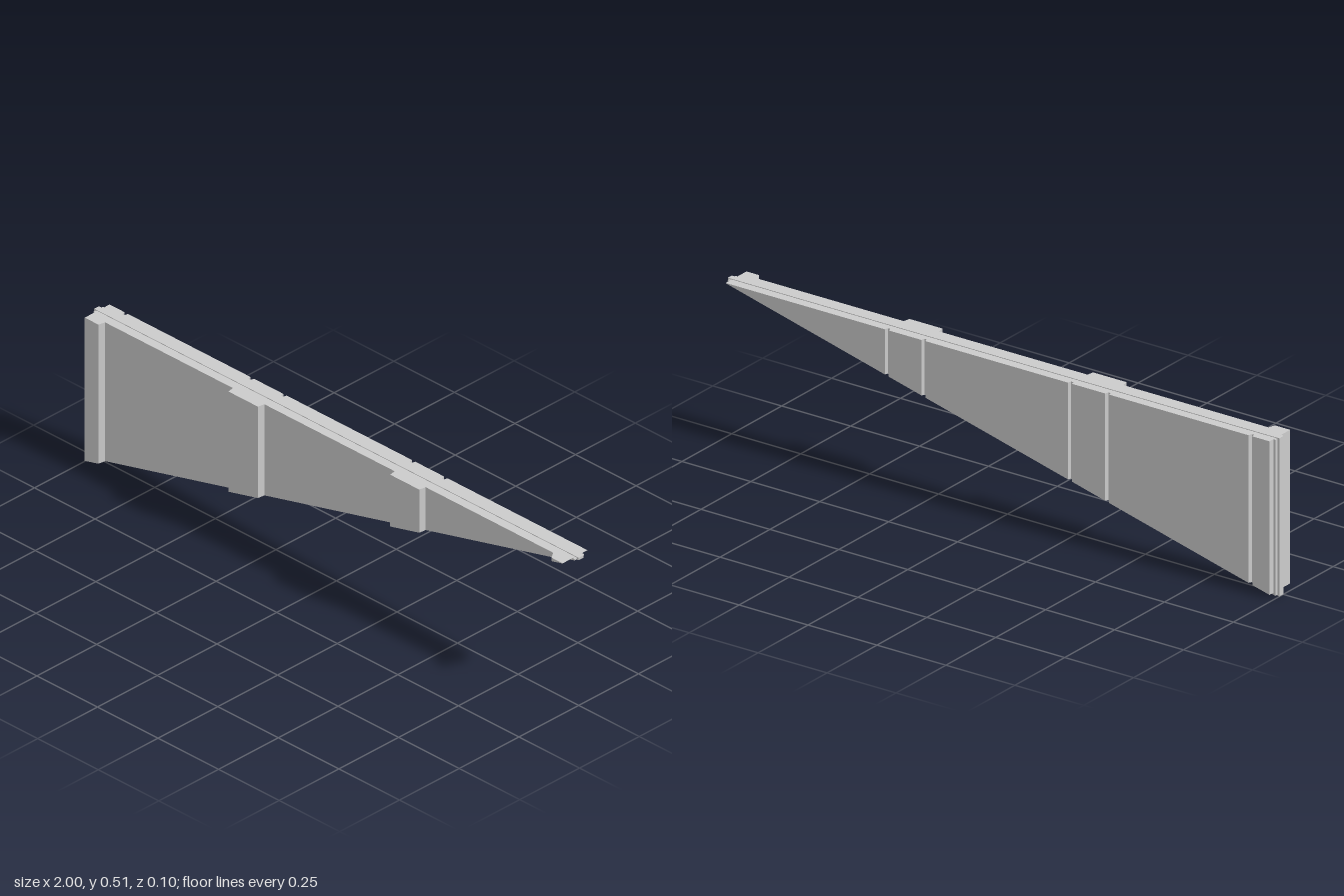
import * as THREE from 'three';

const FRONT = 0.03, RIB = 0.053, BACK = -0.051, TOP = 0.506;
const X0 = -0.987, X1 = 0.985;
const slope = (x) => 0.013 + (TOP - 0.0135 - 0.0005) * (x - X0) / (X1 - X0);

// ribs on the front: [start, end, left chamfer, right chamfer]
const ribs = [
  [X0, -0.925, 0, 0.006],
  [-0.398, -0.268, 0.004, 0.004],
  [0.27, 0.398, 0.004, 0.004],
  [0.925, X1, 0.014, 0],
];
// narrow V-sided grooves on the back
const grooves = [-0.918, -0.398, -0.263, 0.268, 0.401];

function addMesh(group, name, geometry, material) {
  const flat = geometry.index ? geometry.toNonIndexed() : geometry;
  flat.computeVertexNormals();
  const mesh = new THREE.Mesh(flat, material);
  mesh.name = name;
  group.add(mesh);
}

// plan outline pulled upwards, its underside then laid on the slope
function wallGeometry() {
  const pts = [];
  const add = (x, z) => pts.push(new THREE.Vector2(x, -z));
  for (const [a, b, ca, cb] of ribs) {
    if (a > X0) add(a, FRONT);
    add(a + ca, RIB);
    add(b - cb, RIB);
    if (b < X1) add(b, FRONT);
  }
  add(X1, BACK);
  for (const x of [...grooves].reverse()) {
    add(x + 0.007, BACK);
    add(x + 0.004, BACK + 0.012);
    add(x - 0.004, BACK + 0.012);
    add(x - 0.007, BACK);
  }
  add(X0, BACK);
  const geo = new THREE.ExtrudeGeometry(new THREE.Shape(pts), { depth: 1, bevelEnabled: false });
  geo.rotateX(-Math.PI / 2);
  const p = geo.attributes.position;
  for (let i = 0; i < p.count; i++) {
    p.setY(i, p.getY(i) > 0.5 ? TOP : slope(p.getX(i)));
  }
  return geo;
}

// triangular slab between two z planes
function slabGeometry(x0, x1, y0, y1, top, zMin, zMax) {
  const shape = new THREE.Shape([
    new THREE.Vector2(x0, y0), new THREE.Vector2(x1, y1),
    new THREE.Vector2(x1, top), new THREE.Vector2(x0, top),
  ]);
  const geo = new THREE.ExtrudeGeometry(shape, { depth: zMax - zMin, bevelEnabled: false });
  return geo.translate(0, 0, zMin);
}

export function createModel() {
  const group = new THREE.Group();
  group.name = 'triangularWall';
  const material = new THREE.MeshStandardMaterial({ color: 0xcccccc, flatShading: true });

  // wall with front ribs and back grooves
  addMesh(group, 'wallPanel', wallGeometry(), material);
  // stepped tongue running round the edge
  addMesh(group, 'tongueBase', slabGeometry(-0.993, 0.993, 0.004, 0.5, 0.505, -0.03, 0.01), material);
  addMesh(group, 'tongueRidge', slabGeometry(-1, 1, 0, 0.5, 0.508, -0.02, 0), material);
  return group;
}
